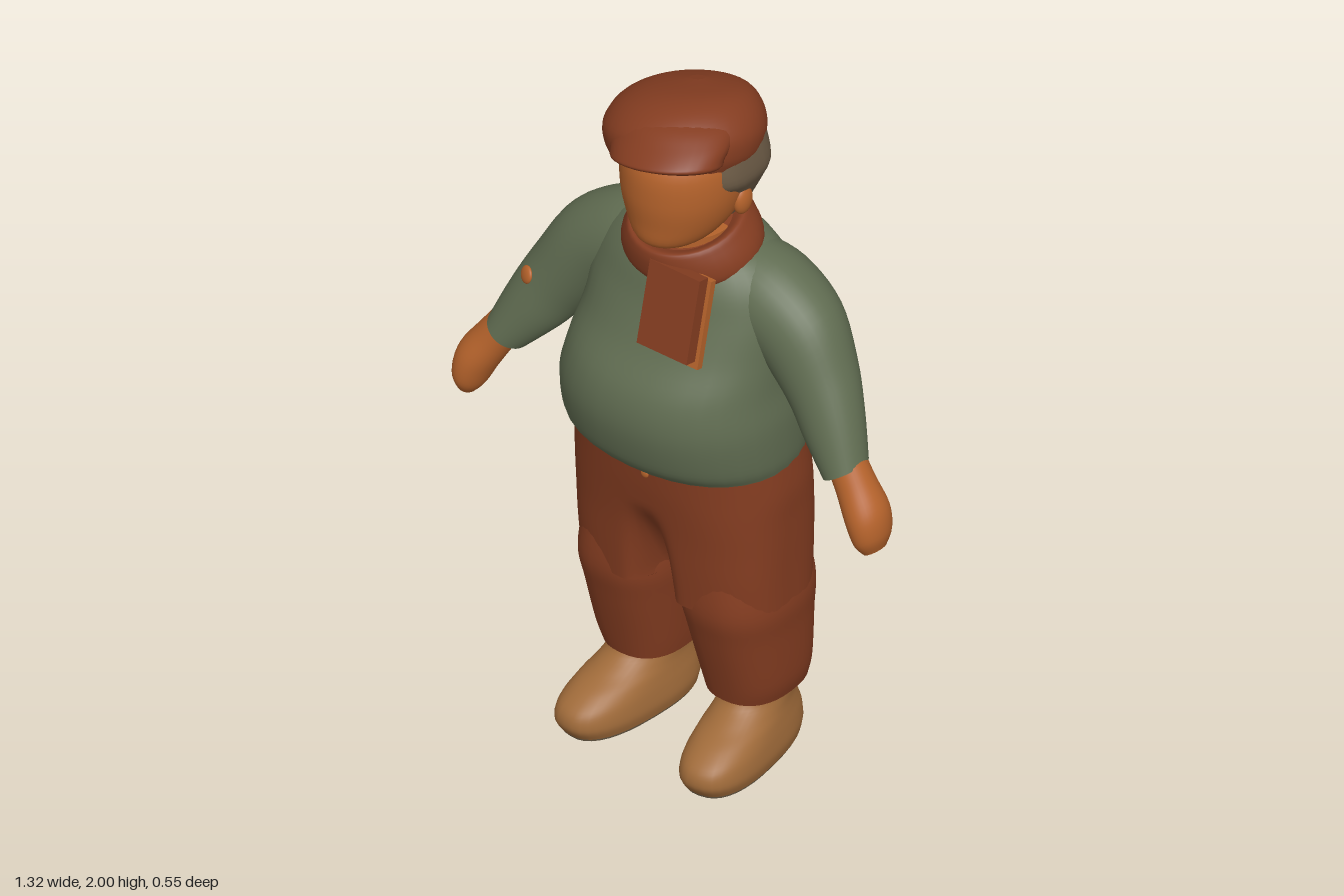
import * as THREE from 'three';

const mat = (name, color) => Object.assign(new THREE.MeshStandardMaterial({ color }), { name });
const maroon = mat('russet cloth', 0x853d21);
const green = mat('green wool', 0x606c51);
const skin = mat('warm skin', 0xb4622b);
const tan = mat('tan leather', 0xa06b3a);
const hairMat = mat('grey brown hair', 0x6b5a45);
const soleMat = mat('dark sole', 0x76664f);

// Smooth body through rings listed from low to high: [x, y, z, rx, rz, tilt, squareness]
function loft(rows, steps = 5, n = 36) {
  const full = rows.map(([x, y, z, a, b, tilt = 0, p = 2]) => [x, y, z, a, b, tilt, p]);
  const at = (i) => full[Math.min(full.length - 1, Math.max(0, i))];
  const rings = [];
  for (let i = 0; i < full.length - 1; i++) {
    for (let s = 0; s < steps; s++) {
      const t = s / steps;
      rings.push(at(i).map((v, k) => {
        const a = at(i - 1)[k], c = at(i + 1)[k], d = at(i + 2)[k];
        return 0.5 * (2 * v + (c - a) * t + (2 * a - 5 * v + 4 * c - d) * t * t + (3 * v - a - 3 * c + d) * t ** 3);
      }));
    }
  }
  rings.push(at(full.length - 1));
  const pos = [], index = [];
  const addRing = ([x, y, z, a, b, tilt, p], scale = 1) => {
    for (let j = 0; j < n; j++) {
      const th = (j / n) * Math.PI * 2, c = Math.cos(th), s = Math.sin(th);
      const u = scale * a * Math.sign(c) * Math.abs(c) ** (2 / p);
      const v = scale * b * Math.sign(s) * Math.abs(s) ** (2 / p);
      pos.push(x + u * Math.cos(tilt), y + u * Math.sin(tilt), z + v);
    }
  };
  const join = (r0, r1) => {
    for (let j = 0; j < n; j++) {
      const k = (j + 1) % n, a = r0 * n + j, b = r0 * n + k, c = r1 * n + j, d = r1 * n + k;
      index.push(a, c, b, b, c, d);
    }
  };
  rings.forEach((r) => addRing(r));
  for (let i = 0; i < rings.length - 1; i++) join(i, i + 1);
  // End caps with their own rings, so the rims stay crisp
  const m = rings.length;
  addRing(rings[0], 0.001); addRing(rings[0]);
  addRing(rings[m - 1]); addRing(rings[m - 1], 0.001);
  join(m, m + 1);
  join(m + 2, m + 3);
  const g = new THREE.BufferGeometry();
  g.setAttribute('position', new THREE.Float32BufferAttribute(pos, 3));
  g.setIndex(index);
  g.computeVertexNormals();
  return g;
}

// Presses a groove into the middle of the trousers, deepest at the crotch
function groove(g, xMid, zMid) {
  const p = g.attributes.position;
  for (let i = 0; i < p.count; i++) {
    const depth = THREE.MathUtils.clamp((0.8 - p.getY(i)) / 0.28, 0, 1) ** 1.5;
    const pinch = 1 - depth * Math.exp(-(((p.getX(i) - xMid) / 0.042) ** 2));
    p.setZ(i, zMid + (p.getZ(i) - zMid) * pinch);
  }
  g.computeVertexNormals();
  return g;
}

function add(parent, name, geometry, material, position = [0, 0, 0], scale = [1, 1, 1]) {
  const m = new THREE.Mesh(geometry, material);
  m.name = name;
  m.position.set(...position);
  m.scale.set(...scale);
  parent.add(m);
  return m;
}

function subgroup(parent, name, position, rotation) {
  const g = new THREE.Group();
  g.name = name;
  g.position.set(...position);
  g.rotation.set(...rotation);
  parent.add(g);
  return g;
}

export function createModel() {
  const model = new THREE.Group();
  model.name = 'manInCap';
  const ball = new THREE.SphereGeometry(1, 32, 20);

  // Sweater body
  add(model, 'sweater', loft([
    [-0.01, 0.945, -0.015, 0.316, 0.242, 0, 2.2], [-0.012, 0.99, -0.003, 0.325, 0.26, 0, 2.2],
    [-0.012, 1.1, 0.004, 0.325, 0.275, 0, 2.2], [-0.008, 1.2, 0, 0.308, 0.262, 0, 2.2],
    [0, 1.3, -0.022, 0.298, 0.222, 0, 2.2], [0, 1.4, -0.04, 0.298, 0.192, 0, 2.1],
    [0, 1.48, -0.047, 0.272, 0.172], [0, 1.54, -0.05, 0.215, 0.145], [0, 1.58, -0.045, 0.13, 0.115],
  ]), green);

  // Trouser seat
  add(model, 'trouserSeat', groove(loft([
    [-0.01, 0.5, -0.045, 0.308, 0.188, 0, 3], [-0.01, 0.6, -0.042, 0.311, 0.196, 0, 3],
    [-0.01, 0.7, -0.04, 0.315, 0.206, 0, 2.8], [-0.01, 0.78, -0.037, 0.318, 0.216, 0, 2.6],
    [-0.01, 0.87, -0.032, 0.322, 0.228, 0, 2.3], [-0.01, 0.965, -0.022, 0.315, 0.232, 0, 2.2],
  ], 5, 200), -0.01, -0.04), maroon);
  add(model, 'waistButton', ball, skin, [0.02, 0.925, 0.207], [0.012, 0.012, 0.005]);

  for (const s of [1, -1]) {
    const side = s > 0 ? 'left' : 'right';
    const swing = s > 0 ? 0 : 0.05; // the right arm hangs further forward
    const arm = (rows) => loft(rows.map(([x, y, z, a, b, t]) =>
      [s * x, y, z + swing * Math.max(0, 1.45 - y) / 0.4, a, b, s * t]));

    // Sleeve and hand
    add(model, side + 'Sleeve', arm([
      [0.52, 1.06, 0.02, 0.062, 0.066, 0.55], [0.46, 1.155, -0.01, 0.088, 0.085, 0.6],
      [0.4, 1.25, -0.038, 0.104, 0.102, 0.65], [0.31, 1.36, -0.06, 0.128, 0.122, 0.75],
      [0.2, 1.425, -0.068, 0.13, 0.13, 1], [0.1, 1.46, -0.065, 0.11, 0.115, 1.2],
    ]), green);
    add(model, side + 'Hand', arm([
      [0.625, 0.862, 0.035, 0.028, 0.036, 0.5], [0.618, 0.9, 0.035, 0.047, 0.06, 0.5],
      [0.598, 0.96, 0.032, 0.056, 0.067, 0.5], [0.555, 1.03, 0.025, 0.053, 0.056, 0.5],
      [0.515, 1.09, 0.018, 0.052, 0.052, 0.5],
    ]), skin);

    // Trouser leg
    const shift = s > 0 ? 0 : -0.02;
    add(model, side + 'TrouserLeg', loft([
      [0.155, 0.185, -0.083, 0.112, 0.14], [0.158, 0.25, -0.075, 0.125, 0.15],
      [0.155, 0.4, -0.057, 0.138, 0.174], [0.154, 0.5, -0.046, 0.146, 0.187], [0.15, 0.62, -0.04, 0.13, 0.175],
    ].map(([x, ...r]) => [s * x + shift, ...r, 0, 2.4])), maroon);

    // Shoe with a dark sole, toes turned out
    const shoe = subgroup(model, side + 'Shoe', [s * 0.178 + shift / 4, 0, 0], [0, s * 0.12, 0]);
    add(shoe, 'shoeUpper', loft([
      [0, 0.008, 0.01, 0.098, 0.215, 0, 2.5], [0, 0.04, 0.015, 0.104, 0.228, 0, 2.5],
      [0, 0.08, 0.01, 0.1, 0.222, 0, 2.4], [0, 0.115, -0.01, 0.093, 0.192, 0, 2.2],
      [0, 0.145, -0.042, 0.086, 0.155], [0, 0.18, -0.07, 0.082, 0.125], [0, 0.23, -0.075, 0.08, 0.115],
    ]), tan);
    add(shoe, 'shoeSole', loft([
      [0, 0, 0.01, 0.094, 0.21, 0, 2.5], [0, 0.009, 0.01, 0.098, 0.215, 0, 2.5],
    ], 1), soleMat);

    // Ear
    add(model, side + 'Ear', ball, skin, [s * 0.15, 1.71, -0.03], [0.02, 0.042, 0.032]);
  }

  // Worn patch on the right sleeve
  const patch = add(model, 'sleevePatch', ball, skin, [-0.46, 1.258, 0.077], [0.024, 0.024, 0.01]);
  patch.rotation.set(-0.3, -0.42, 0);

  // Head, neck and hair
  add(model, 'neck', new THREE.CylinderGeometry(0.115, 0.115, 0.12, 32), skin, [0, 1.555, -0.005]);
  add(model, 'head', loft([
    [0, 1.592, 0.055, 0.05, 0.075], [0, 1.62, 0.045, 0.1, 0.128], [0, 1.68, 0.022, 0.14, 0.162],
    [0, 1.76, 0.015, 0.16, 0.177], [0, 1.85, 0.01, 0.156, 0.172], [0, 1.92, 0, 0.12, 0.13],
  ]), skin);
  add(model, 'hair', loft([
    [0, 1.61, -0.075, 0.09, 0.08], [0, 1.68, -0.075, 0.13, 0.1], [0, 1.75, -0.055, 0.166, 0.125, 0, 2.4],
    [0, 1.8, -0.04, 0.182, 0.138, 0, 3], [0, 1.88, -0.04, 0.168, 0.13, 0, 3],
  ]), hairMat);

  // Flat cap, tipped back and to one side, its front sloping into the brim
  const cap = subgroup(model, 'cap', [-0.015, 1.81, 0], [-0.28, 0, 0.2]);
  add(cap, 'capCrown', loft([
    [0, -0.015, 0, 0.178, 0.185], [0, 0.02, 0, 0.2, 0.203], [0, 0.075, -0.004, 0.208, 0.21],
    [0, 0.13, -0.022, 0.18, 0.182], [0.005, 0.165, -0.04, 0.122, 0.124], [0.005, 0.18, -0.05, 0.02, 0.02],
  ]), maroon);
  add(cap, 'capBrim', loft([
    [0.045, 0.004, 0.125, 0.138, 0.108], [0.045, 0.014, 0.135, 0.154, 0.121], [0.043, 0.03, 0.13, 0.158, 0.12],
    [0.032, 0.065, 0.092, 0.166, 0.13], [0.015, 0.105, 0.04, 0.165, 0.146], [0, 0.14, -0.01, 0.13, 0.14],
  ]), maroon);

  // Scarf wrapped around the neck
  const wrap = subgroup(model, 'scarfWrap', [0, 1.563, -0.01], [0.24, 0, 0.03]);
  add(wrap, 'scarfRing', loft([
    [0, -0.06, 0, 0.165, 0.148], [0, -0.035, 0, 0.19, 0.168], [0, 0, 0, 0.186, 0.17],
    [0, 0.04, 0, 0.165, 0.165], [0, 0.062, 0, 0.145, 0.152], [0, 0.045, 0, 0.115, 0.12],
  ]), maroon);

  // Hanging scarf end with a light lining behind it
  const tail = subgroup(model, 'scarfEnd', [0.087, 1.43, 0.163], [-0.235, 0, 0]);
  add(tail, 'scarfLining', new THREE.BoxGeometry(0.17, 0.25, 0.02), skin, [0, 0, -0.016]);
  add(tail, 'scarfFront', new THREE.BoxGeometry(0.16, 0.238, 0.036), maroon, [-0.006, 0.014, 0.012]);

  return model;
}
